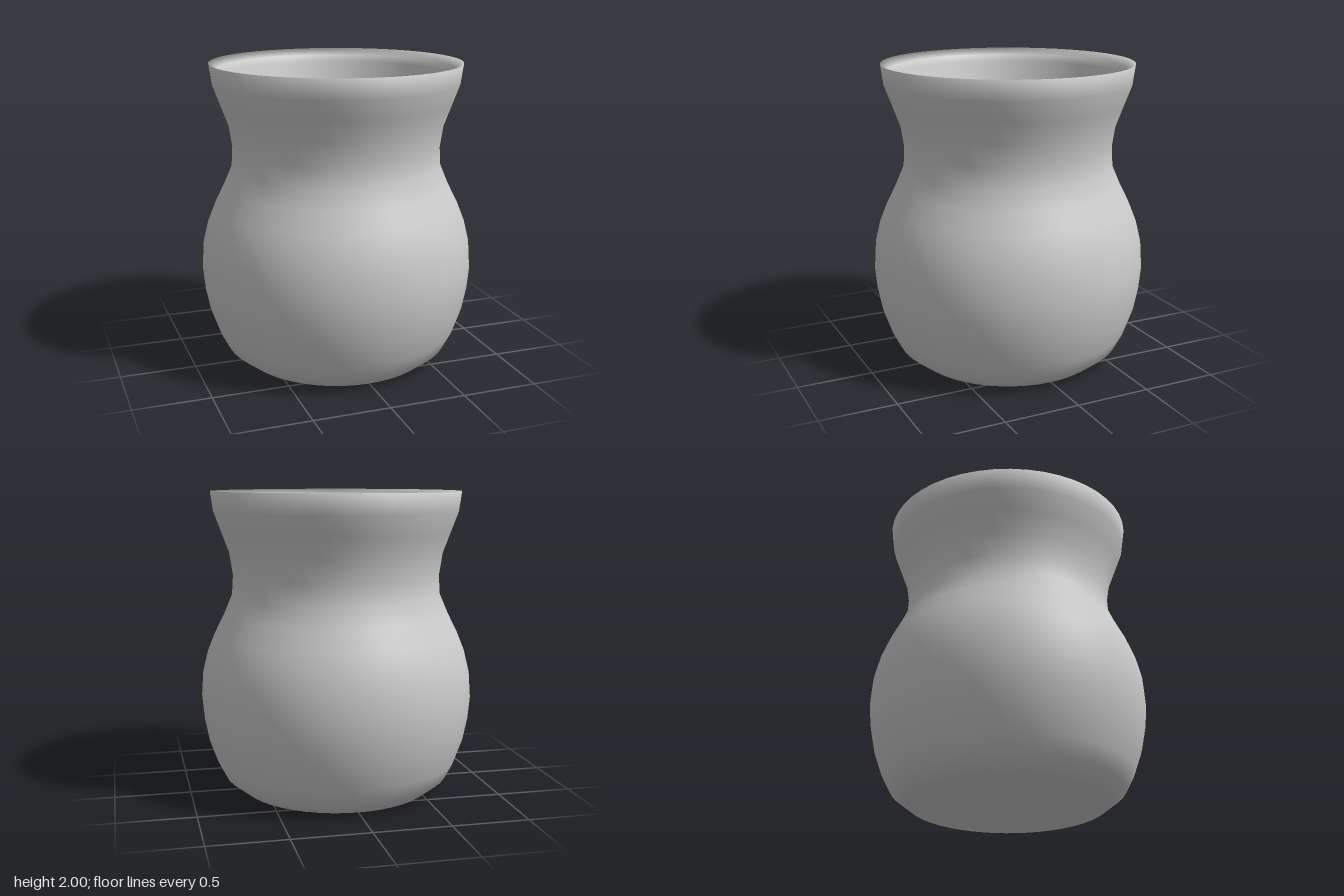
import * as THREE from 'three';

const SEGMENTS = 48;

// [radius, height] pairs: dished base, belly, neck and lip of the outside
const outside = [
  [0, 0.07], [0.3, 0.06], [0.47, 0.03], [0.64, 0], [0.755, 0.09], [0.812, 0.2],
  [0.865, 0.35], [0.895, 0.5], [0.908, 0.64], [0.897, 0.8], [0.863, 0.94],
  [0.815, 1.06], [0.75, 1.19], [0.695, 1.32], [0.687, 1.45], [0.71, 1.6],
  [0.76, 1.735], [0.81, 1.87], [0.828, 2],
];

// Bevelled rim, then an even taper to a deeply rounded floor
const inside = [
  [0.778, 1.955], [0.762, 1.91], [0.71, 1.7], [0.645, 1.45], [0.59, 1.2],
  [0.535, 0.95], [0.48, 0.76], [0.4, 0.62], [0.28, 0.51], [0.14, 0.45], [0, 0.43],
];

export function createModel() {
  const group = new THREE.Group();
  group.name = 'vase';

  // One closed surface, so the shading rolls smoothly over the rim
  const points = [...outside, ...inside].map(([r, y]) => new THREE.Vector2(r, y));
  const body = new THREE.Mesh(
    new THREE.LatheGeometry(points, SEGMENTS),
    new THREE.MeshStandardMaterial({ color: 0xcccccc }),
  );
  body.name = 'vaseBody';
  group.add(body);

  return group;
}
